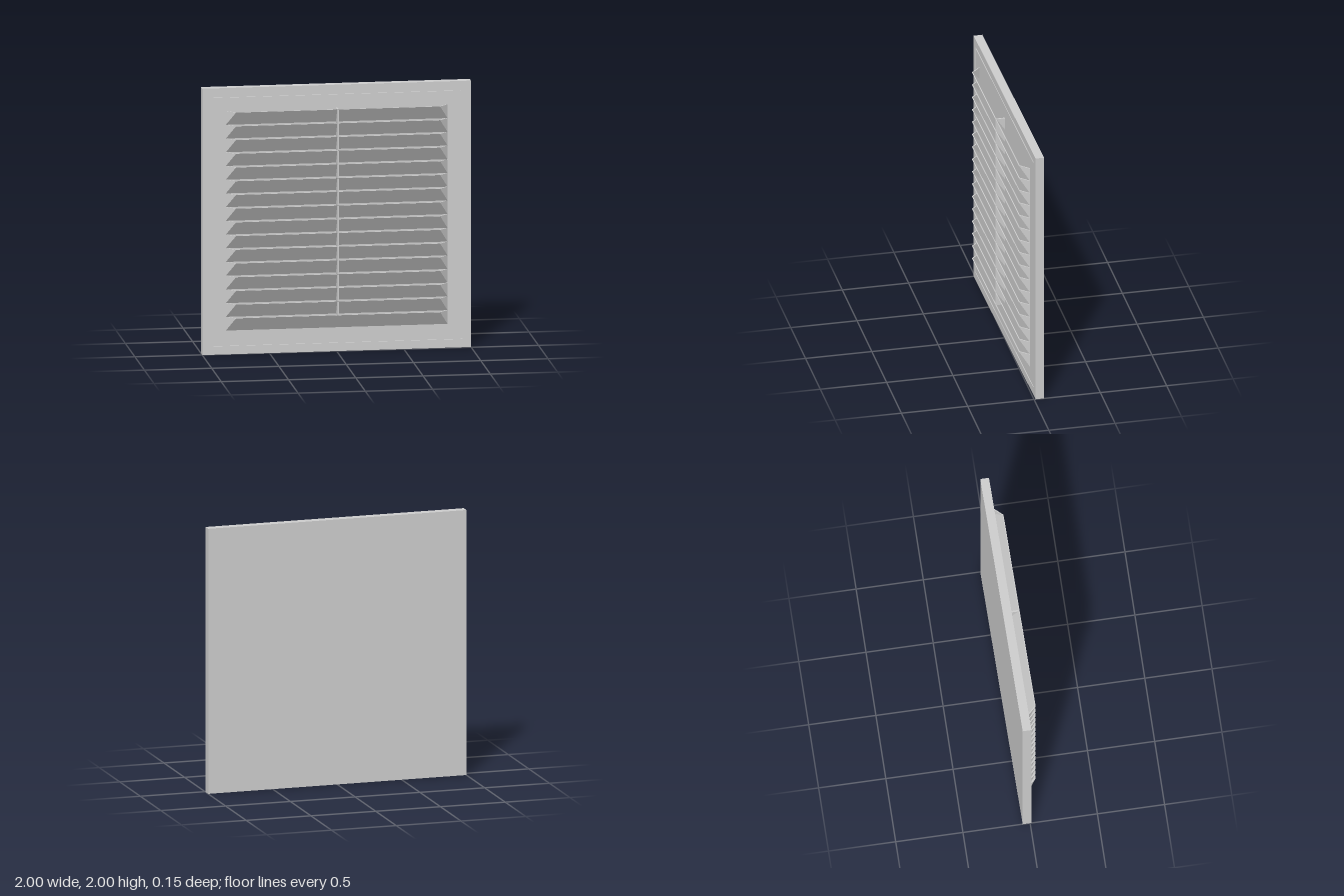
import * as THREE from 'three';

const material = new THREE.MeshStandardMaterial({ color: 0xcccccc, flatShading: true, side: THREE.DoubleSide });
const THICK = 0.065; // plate thickness
const OUT = 0.07;    // how far the louvers stand out
const PITCH = 0.103, COUNT = 16, TOP = 1.827;

function part(name, geometry, x = 0, y = 0, z = 0) {
  const mesh = new THREE.Mesh(geometry, material);
  mesh.name = name;
  mesh.position.set(x, y, z);
  return mesh;
}

// Square ring of the given half sizes, extruded along z
function ringGeometry(outer, inner, depth) {
  const square = (s, Type) => new Type([[-s, -s], [s, -s], [s, s], [-s, s]].map(([x, y]) => new THREE.Vector2(x, y)));
  const shape = square(outer, THREE.Shape);
  shape.holes.push(square(inner, THREE.Path));
  return new THREE.ExtrudeGeometry(shape, { depth, bevelEnabled: false });
}

// Thin scoop, open at the top: a sloping slat with a triangular cheek at each end
function louverGeometry() {
  const corners = (back, front, z, bottom) => [
    [-back, 0, 0], [-front, 0, z], [front, 0, z], [back, 0, 0], // top edge
    [-back, bottom, 0], [back, bottom, 0],                      // foot on the plate
  ];
  const points = [
    ...corners(0.825, 0.76, OUT, -PITCH),
    ...corners(0.816, 0.755, OUT - 0.007, -PITCH + 0.011),
  ];
  const skin = [[0, 4, 1], [1, 4, 5], [1, 5, 2], [2, 5, 3]];
  const faces = [];
  for (const [a, b, c] of skin) faces.push([a, b, c], [a + 6, c + 6, b + 6]);
  // rim joining outer and inner skins
  for (let i = 0; i < 3; i++) faces.push([i, i + 1, i + 7], [i, i + 7, i + 6]);
  const positions = faces.flat().flatMap((i) => points[i]);
  const geometry = new THREE.BufferGeometry();
  geometry.setAttribute('position', new THREE.Float32BufferAttribute(positions, 3));
  geometry.computeVertexNormals();
  return geometry;
}

export function createModel() {
  const model = new THREE.Group();
  model.name = 'ventGrille';

  // Back plate: outer frame, groove floor and inner panel
  model.add(part('outerFrame', ringGeometry(1, 0.938, THICK), 0, 1, -THICK));
  model.add(part('grooveFloor', new THREE.BoxGeometry(1.876, 1.876, THICK - 0.01), 0, 1, -(THICK + 0.01) / 2));
  model.add(part('innerPanel', new THREE.BoxGeometry(1.856, 1.856, 0.01), 0, 1, -0.005));

  // Stack of louvers
  const louvers = new THREE.Group();
  louvers.name = 'louvers';
  const louver = louverGeometry();
  for (let i = 0; i < COUNT; i++) louvers.add(part('louver', louver, 0, TOP - i * PITCH, 0));
  model.add(louvers);

  // Upright rib through the middle of the louvers
  const ribHeight = PITCH * (COUNT - 1);
  model.add(part('centreRib', new THREE.BoxGeometry(0.012, ribHeight, OUT - 0.001), 0, TOP - ribHeight / 2, (OUT - 0.001) / 2));

  // The whole grille is turned very slightly
  model.rotation.y = 0.0105;
  model.position.z = -0.001;
  return model;
}
